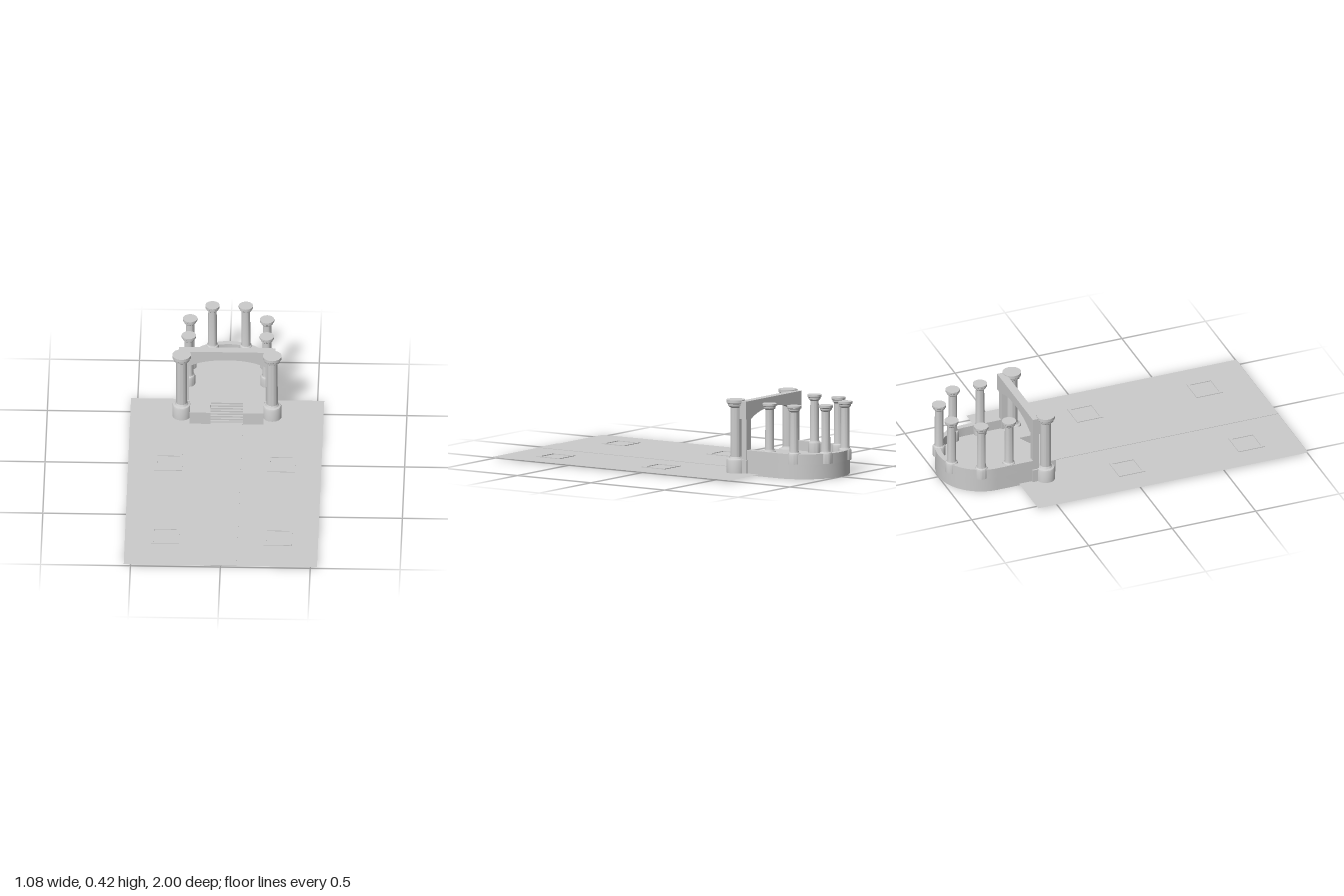
import * as THREE from 'three';
import { toCreasedNormals } from 'three/addons/utils/BufferGeometryUtils.js';

const grey = new THREE.MeshStandardMaterial({ color: 0xcccccc });
const greyThin = new THREE.MeshStandardMaterial({ color: 0xcccccc, side: THREE.DoubleSide });

// Apse plan (shape y is world -z)
const FRONT = 0.53, CENTRE = 0.747, R = 0.253, WALL = 0.03;
const FLOOR = 0.085, PARAPET = 0.14;

export function createModel() {
  const model = new THREE.Group();

  const add = (name, geometry, x = 0, y = 0, z = 0, material = grey) => {
    const mesh = new THREE.Mesh(geometry, material);
    mesh.name = name;
    mesh.position.set(x, y, z);
    model.add(mesh);
    return mesh;
  };

  // Box given by its limits
  const block = (name, x0, x1, y0, y1, z0, z1) =>
    add(name, new THREE.BoxGeometry(x1 - x0, y1 - y0, z1 - z0), (x0 + x1) / 2, (y0 + y1) / 2, (z0 + z1) / 2);

  // Upright solid from a plan shape
  const slab = (shape, height) => toCreasedNormals(
    new THREE.ExtrudeGeometry(shape, { depth: height, bevelEnabled: false, curveSegments: 24 }).rotateX(-Math.PI / 2), 0.5);

  // Turned solid from [radius, height] pairs
  const turned = (pairs) => toCreasedNormals(
    new THREE.LatheGeometry(pairs.map(([r, y]) => new THREE.Vector2(r, y)), 32), 0.5);

  // Ground with a raised central path
  add('ground', new THREE.PlaneGeometry(1.075, 1.617).rotateX(-Math.PI / 2), 0, 0.01, 0.191, greyThin);
  block('path', -0.09, 0.09, 0.008, 0.0125, -0.49, 1);

  // Square frames set into the ground
  const frame = new THREE.Shape();
  const square = (path, h) => path.moveTo(-h, -h).lineTo(h, -h).lineTo(h, h).lineTo(-h, h).closePath();
  square(frame, 0.078);
  const opening = new THREE.Path();
  square(opening, 0.062);
  frame.holes.push(opening);
  for (const x of [-0.314, 0.314]) {
    for (const z of [0.005, 0.72]) add('groundFrame', slab(frame, 0.009), x, 0.005, z);
  }

  // Rounded platform: hollow below, with a floor and a skirt wall
  const plan = new THREE.Shape();
  plan.moveTo(-R, FRONT).lineTo(R, FRONT).lineTo(R, CENTRE).absarc(0, CENTRE, R, 0, Math.PI, false).closePath();
  add('floor', slab(plan, 0.004), 0, FLOOR - 0.004, 0);

  const uShape = (thickness) => {
    const s = new THREE.Shape(), r = R - thickness;
    s.moveTo(R, FRONT).lineTo(R, CENTRE).absarc(0, CENTRE, R, 0, Math.PI, false).lineTo(-R, FRONT);
    s.lineTo(-r, FRONT).lineTo(-r, CENTRE).absarc(0, CENTRE, r, Math.PI, 0, true).lineTo(r, FRONT).closePath();
    return s;
  };
  add('platformSkirt', slab(uShape(0.006), FLOOR));
  add('parapet', slab(uShape(WALL), PARAPET - FLOOR), 0, FLOOR, 0);
  block('platformFront', -0.265, 0.265, 0, FLOOR, -0.54, -0.49);

  // Stairs between two cheek blocks
  for (const s of [-1, 1]) {
    block('stairCheek', Math.min(s * 0.09, s * 0.205), Math.max(s * 0.09, s * 0.205), 0, FLOOR, -0.495, -0.378);
  }
  const steps = 8;
  const rise = (FLOOR - 0.01) / steps, going = 0.1 / steps;
  for (let i = 0; i < steps; i++) {
    block('step', -0.09, 0.09, 0.008, 0.01 + rise * (i + 1), -0.49, -0.39 - going * i);
  }

  // Arched screen on two piers
  const arch = new THREE.Shape();
  arch.moveTo(-0.268, 0.315).lineTo(-0.215, 0.315);
  arch.quadraticCurveTo(-0.14, 0.36, 0, 0.361).quadraticCurveTo(0.14, 0.36, 0.215, 0.315);
  arch.lineTo(0.268, 0.315).lineTo(0.268, 0.415).lineTo(-0.268, 0.415).closePath();
  add('archBeam', toCreasedNormals(
    new THREE.ExtrudeGeometry(arch, { depth: 0.046, bevelEnabled: false, curveSegments: 12 }), 0.5), 0, 0, -0.541);
  block('pierLeft', 0.213, 0.255, 0, 0.318, -0.535, -0.5);
  block('pierRight', -0.255, -0.213, 0, 0.318, -0.535, -0.5);

  // Tall front columns
  const tall = turned([
    [0, 0], [0.052, 0], [0.052, 0.077], [0.048, 0.086], [0.037, 0.09], [0.031, 0.1],
    [0.03, 0.375], [0.036, 0.38], [0.044, 0.386], [0.046, 0.398], [0.052, 0.403], [0.052, 0.42], [0, 0.42],
  ]);
  for (const s of [-1, 1]) add('frontColumn', tall, s * 0.252, 0, -0.459);

  // Ring of shorter columns on the parapet
  const short = turned([
    [0, 0.083], [0.036, 0.083], [0.036, 0.135], [0.033, 0.143], [0.027, 0.148], [0.025, 0.157],
    [0.0235, 0.375], [0.028, 0.379], [0.033, 0.384], [0.034, 0.393], [0.04, 0.398], [0.04, 0.41], [0, 0.41],
  ]);
  for (const [x, z] of [[0.217, -0.664], [0.214, -0.829], [0.093, -0.959]]) {
    for (const s of [-1, 1]) add('apseColumn', short, s * x, 0, z);
  }

  return model;
}
